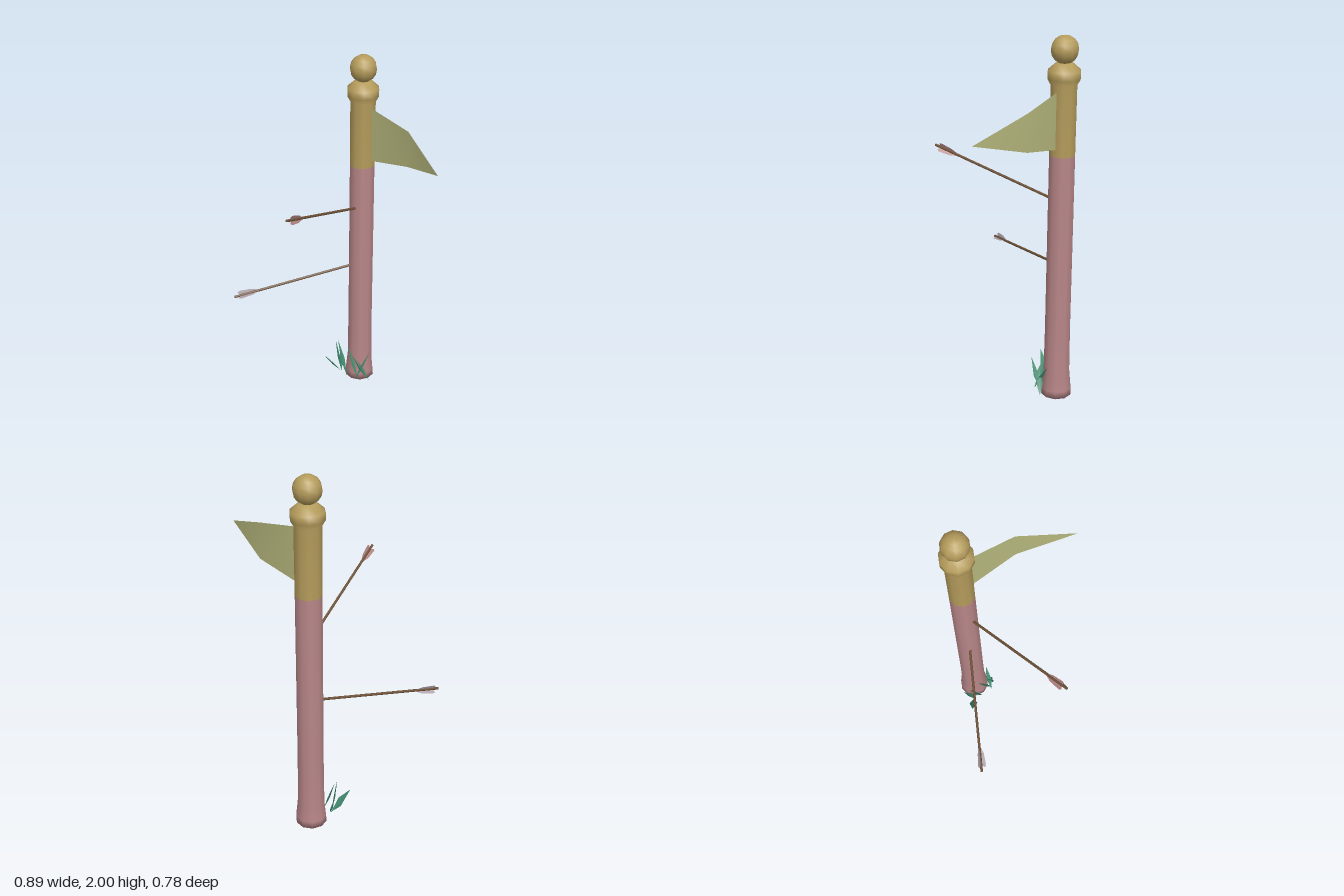
import * as THREE from 'three';

const mat = (name, color, double = false) => {
  const m = new THREE.MeshStandardMaterial({ color });
  m.name = name;
  if (double) m.side = THREE.DoubleSide;
  return m;
};
const V = (a) => new THREE.Vector3(...a);

function surface(points, index) {
  const g = new THREE.BufferGeometry();
  g.setAttribute('position', new THREE.Float32BufferAttribute(points.flat(), 3));
  g.setIndex(index);
  g.computeVertexNormals();
  return g;
}

export function createModel() {
  const model = new THREE.Group();
  const pink = mat('faded pink', 0xb88688);
  const gold = mat('old gold', 0xb59c5c);
  const cloth = mat('pale olive cloth', 0xb5b67c, true);
  const wood = mat('shaft brown', 0x705339);
  const greyFeather = mat('grey feather', 0xa99da5, true);
  const pinkFeather = mat('rose feather', 0xb08282, true);
  const green = mat('grass green', 0x438c70, true);

  const add = (name, geo, material, parent = model) => {
    const mesh = new THREE.Mesh(geo, material);
    mesh.name = name;
    parent.add(mesh);
    return mesh;
  };

  // Ten-sided post with a flared foot and a gold head
  const post = new THREE.Group();
  post.name = 'post';
  post.position.set(-0.185, 0, -0.306);
  model.add(post);
  const lathe = (pts) => new THREE.LatheGeometry(
    pts.map(([r, y]) => new THREE.Vector2(r, y)), 10, Math.PI / 2);
  add('postShaft', lathe([[0, 0.004], [0.086, 0], [0.083, 0.04], [0.074, 0.13], [0.071, 0.4], [0.069, 1.39]]), pink, post);
  add('postHead', lathe([[0.069, 1.39], [0.069, 1.755], [0.086, 1.785], [0.086, 1.825], [0.045, 1.862], [0, 1.866]]), gold, post);
  add('finial', new THREE.SphereGeometry(0.072, 10, 8), gold, post).position.y = 1.928;

  // Bent pennant
  add('pennant', surface([
    [-0.118, 1.43, -0.314], [-0.118, 1.725, -0.314],
    [0.135, 1.48, -0.345], [0.135, 1.675, -0.345],
    [0.445, 1.566, -0.272],
  ], [0, 2, 1, 1, 2, 3, 2, 4, 3]), cloth);

  // Arrows stuck in the front of the post, each with three vanes
  const arrow = (name, entry, tail, feather) => {
    const a = V(entry), d = V(tail).sub(a), L = d.length();
    const group = new THREE.Group();
    group.name = name;
    group.position.copy(a);
    group.quaternion.setFromUnitVectors(new THREE.Vector3(0, 1, 0), d.normalize());
    model.add(group);
    const shaft = new THREE.CylinderGeometry(0.007, 0.007, L + 0.02, 6);
    shaft.translate(0, L / 2 - 0.01, 0);
    add('arrowShaft', shaft, wood, group);
    const vane = new THREE.ShapeGeometry(new THREE.Shape([
      [0, L - 0.155], [0.021, L - 0.1], [0.027, L - 0.035], [0.02, L - 0.022], [0, L - 0.035],
    ].map(([x, y]) => new THREE.Vector2(x, y))));
    for (let i = 0; i < 3; i++) {
      add('vane', vane, feather, group).rotation.y = Math.PI / 2 + i * Math.PI * 2 / 3;
    }
  };
  arrow('upperArrow', [-0.163, 1.15, -0.24], [0.064, 1.362, 0.363], pinkFeather);
  arrow('lowerArrow', [-0.205, 0.768, -0.24], [-0.44, 0.675, 0.39], greyFeather);

  // Folded grass blades: base, tip, and half-width direction at the middle
  const blades = [
    [[-0.24, 0.02, -0.21], [-0.257, 0.245, -0.18], [0.018, 0, 0.018]],
    [[-0.235, 0.02, -0.205], [-0.285, 0.155, -0.108], [0.022, 0.01, 0.012]],
    [[-0.235, 0.02, -0.21], [-0.285, 0.14, -0.235], [0.008, 0, 0.02]],
    [[-0.178, 0.015, -0.205], [-0.26, 0.235, -0.2], [0.005, 0, 0.017]],
    [[-0.09, 0.02, -0.28], [-0.105, 0.21, -0.19], [0.014, 0.008, 0.012]],
    [[-0.1, 0.03, -0.225], [-0.193, 0.215, -0.225], [0.006, 0.004, 0.016]],
    [[-0.07, 0.015, -0.285], [-0.12, 0.15, -0.235], [0.012, 0, 0.014]],
    [[-0.11, 0.02, -0.21], [-0.095, 0.19, -0.312], [0.014, 0, 0.008]],
  ];
  const grass = new THREE.Group();
  grass.name = 'grass';
  model.add(grass);
  for (const [b, t, s] of blades) {
    const base = V(b), tip = V(t), side = V(s);
    const mid = base.clone().lerp(tip, 0.45);
    const fold = new THREE.Vector3().crossVectors(side, tip.clone().sub(base)).setLength(0.007);
    const pts = [base, mid.clone().add(side), tip, mid.clone().sub(side), mid.clone().add(fold)];
    const geo = surface(pts.map((p) => p.toArray()), [0, 1, 4, 1, 2, 4, 2, 3, 4, 3, 0, 4]);
    add('grassBlade', geo, green, grass);
  }
  return model;
}
